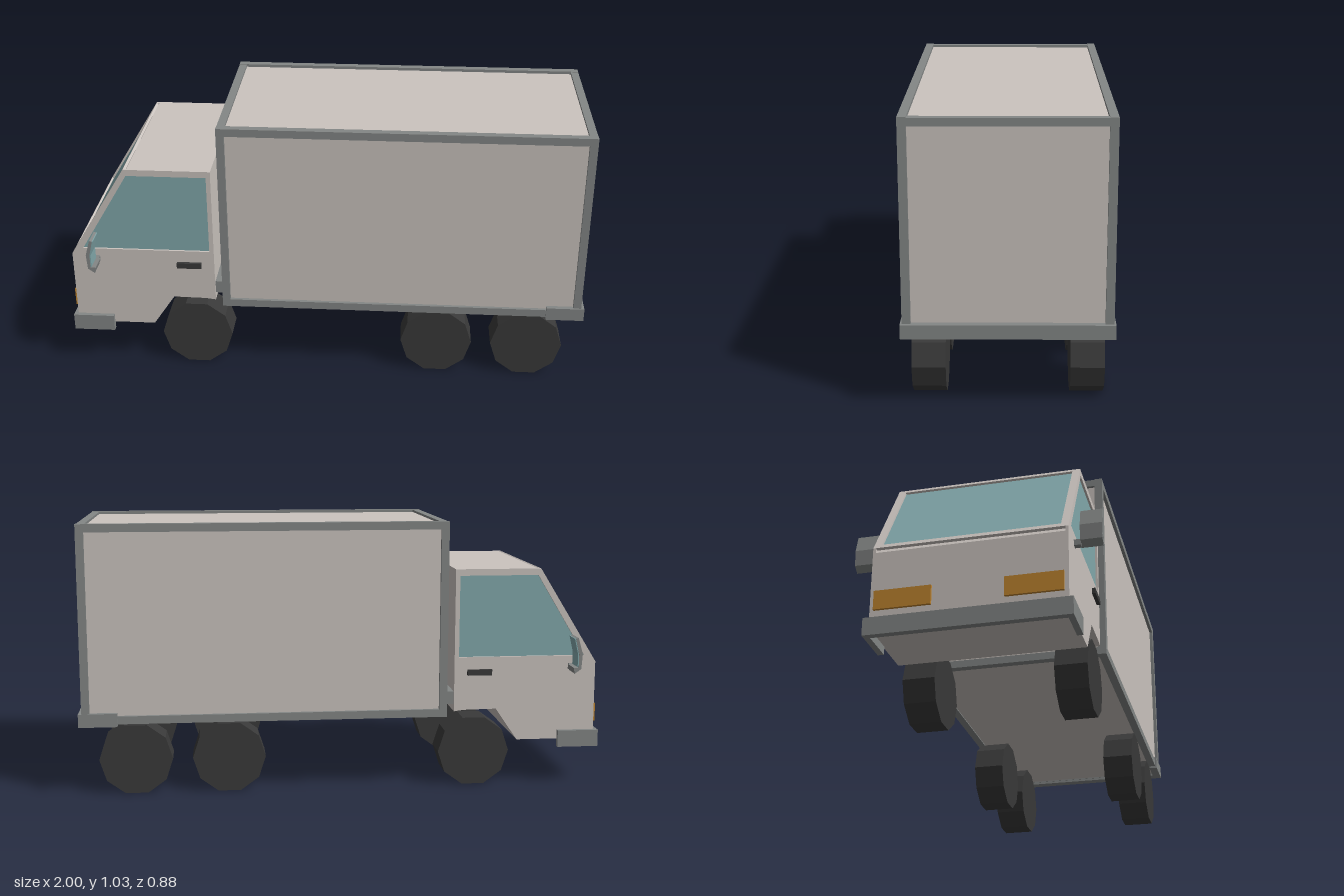
import * as THREE from 'three';

const paint = (name, color) => {
  const m = new THREE.MeshStandardMaterial({ color });
  m.name = name;
  return m;
};

export function createModel() {
  const truck = new THREE.Group();
  truck.name = 'boxTruck';
  const body = paint('warm grey body', 0xcbc4bf);
  const trim = paint('grey trim', 0x848786);
  const glass = paint('teal glass', 0x83a9ac);
  const rubber = paint('dark rubber', 0x393939);
  const amber = paint('amber lamp', 0xc08530);

  const add = (name, geometry, material, parent = truck) => {
    const mesh = new THREE.Mesh(geometry, material);
    mesh.name = name;
    parent.add(mesh);
    return mesh;
  };
  // Box given by its minimum and maximum on each axis
  const block = (name, material, x0, x1, y0, y1, z0, z1) => {
    const g = new THREE.BoxGeometry(x1 - x0, y1 - y0, z1 - z0);
    g.translate((x0 + x1) / 2, (y0 + y1) / 2, (z0 + z1) / 2);
    return add(name, g, material);
  };
  const polygon = (pts) => new THREE.Shape(pts.map(([x, y]) => new THREE.Vector2(x, y)));
  // Outline in x and y, extruded from z0 to z1, with an optional opening
  const slab = (pts, z0, z1, hole) => {
    const shape = polygon(pts);
    if (hole) shape.holes.push(polygon(hole));
    const g = new THREE.ExtrudeGeometry(shape, { depth: z1 - z0, bevelEnabled: false });
    return g.translate(0, 0, z0);
  };
  // z range on the left (+1) or right (-1) side
  const span = (s, a, b) => (s > 0 ? [a, b] : [-b, -a]);
  const sides = [1, -1];

  // Cab core, with the windscreen slope set back
  const under = [[-0.985, 0.175], [-0.68, 0.175], [-0.595, 0.30], [-0.47, 0.298], [-0.43, 0.293], [-0.43, 0.845]];
  add('cabCore', slab([...under, [-0.748, 0.845], [-0.985, 0.461]], -0.33, 0.33), body);

  // Cab sides with recessed windows and door handles
  const outline = [...under, [-0.76, 0.845], [-0.985, 0.48]];
  const windowOutline = [[-0.94, 0.505], [-0.447, 0.505], [-0.447, 0.82], [-0.75, 0.82]];
  for (const s of sides) {
    add('cabSide', slab(outline, ...span(s, 0.33, 0.34), windowOutline), body);
    add('sideWindow', slab(windowOutline, ...span(s, 0.328, 0.332)), glass);
    block('doorHandle', rubber, -0.575, -0.48, 0.435, 0.457, ...span(s, 0.338, 0.353));
  }

  // Windscreen: sloping frame and recessed pane
  const rect = (w, v0, v1) => [[-w, v0], [w, v0], [w, v1], [-w, v1]];
  const up = new THREE.Vector3(0.225, 0.365, 0).normalize();
  const across = new THREE.Vector3(0, 0, 1);
  const slope = new THREE.Matrix4()
    .makeBasis(across, up, across.clone().cross(up))
    .setPosition(-0.985, 0.48, 0);
  const pane = rect(0.313, 0.02, 0.414);
  add('windscreenFrame', slab(rect(0.33, 0, 0.4288), -0.01, 0, pane).applyMatrix4(slope), body);
  add('windscreen', slab(pane, -0.012, -0.008).applyMatrix4(slope), glass);

  // Headlamps
  for (const s of sides) block('headlamp', amber, -0.995, -0.984, 0.24, 0.31, ...span(s, 0.125, 0.325));

  // Front and rear bumpers, each wrapping round the corners
  block('frontBumper', trim, -1, -0.975, 0.145, 0.21, -0.357, 0.357);
  block('rearBumper', trim, 0.96, 1, 0.267, 0.318, -0.363, 0.363);
  for (const s of sides) {
    block('frontBumperEnd', trim, -0.975, -0.84, 0.145, 0.21, ...span(s, 0.335, 0.357));
    block('rearBumperEnd', trim, 0.855, 0.96, 0.267, 0.318, ...span(s, 0.33, 0.363));
  }

  // Wing mirrors: arm, curved shell and rear-facing glass
  const shell = [[-0.875, 0.452], [-0.87, 0.475], [-0.89, 0.475], [-0.89, 0.527], [-0.876, 0.587],
    [-0.886, 0.59], [-0.904, 0.527], [-0.9, 0.47]];
  const mirrorFace = [[-0.891, 0.477], [-0.886, 0.477], [-0.886, 0.527], [-0.872, 0.587], [-0.877, 0.587], [-0.891, 0.527]];
  for (const s of sides) {
    add('mirrorShell', slab(shell, ...span(s, 0.362, 0.438)), trim);
    add('mirrorGlass', slab(mirrorFace, ...span(s, 0.364, 0.436)), glass);
    block('mirrorArm', trim, -0.898, -0.876, 0.453, 0.475, ...span(s, 0.335, 0.364));
  }

  // Cargo box: recessed panels inside a frame of twelve rails
  block('cargoPanels', body, -0.388, 0.975, 0.28, 1.017, -0.344, 0.344);
  const X = [-0.40, 0.988], Y = [0.276, 1.028], Z = 0.357, t = 0.03;
  for (const s of sides) {
    for (const x of [X[0], X[1] - t]) block('cornerPost', trim, x, x + t, Y[0], Y[1], ...span(s, Z - t, Z));
    for (const y of [Y[0], Y[1] - t]) block('sideRail', trim, X[0] + t, X[1] - t, y, y + t, ...span(s, Z - t, Z));
  }
  for (const x of [X[0], X[1] - t])
    for (const y of [Y[0], Y[1] - t]) block('crossRail', trim, x, x + t, y, y + t - 0.002, t - Z, Z - t);

  // Coupling between cab and cargo box
  block('coupling', trim, -0.44, -0.39, 0.32, 0.37, -0.33, 0.33);

  // Ten-sided wheels on three axles
  const wheel = new THREE.CylinderGeometry(0.139, 0.139, 0.118, 10).toNonIndexed();
  wheel.rotateY(Math.PI / 2).rotateX(Math.PI / 2);
  wheel.computeVertexNormals();
  for (const x of [-0.51, 0.437, 0.79])
    for (const s of sides) add('wheel', wheel, rubber).position.set(x, 0.1325, s * 0.274);

  return truck;
}
